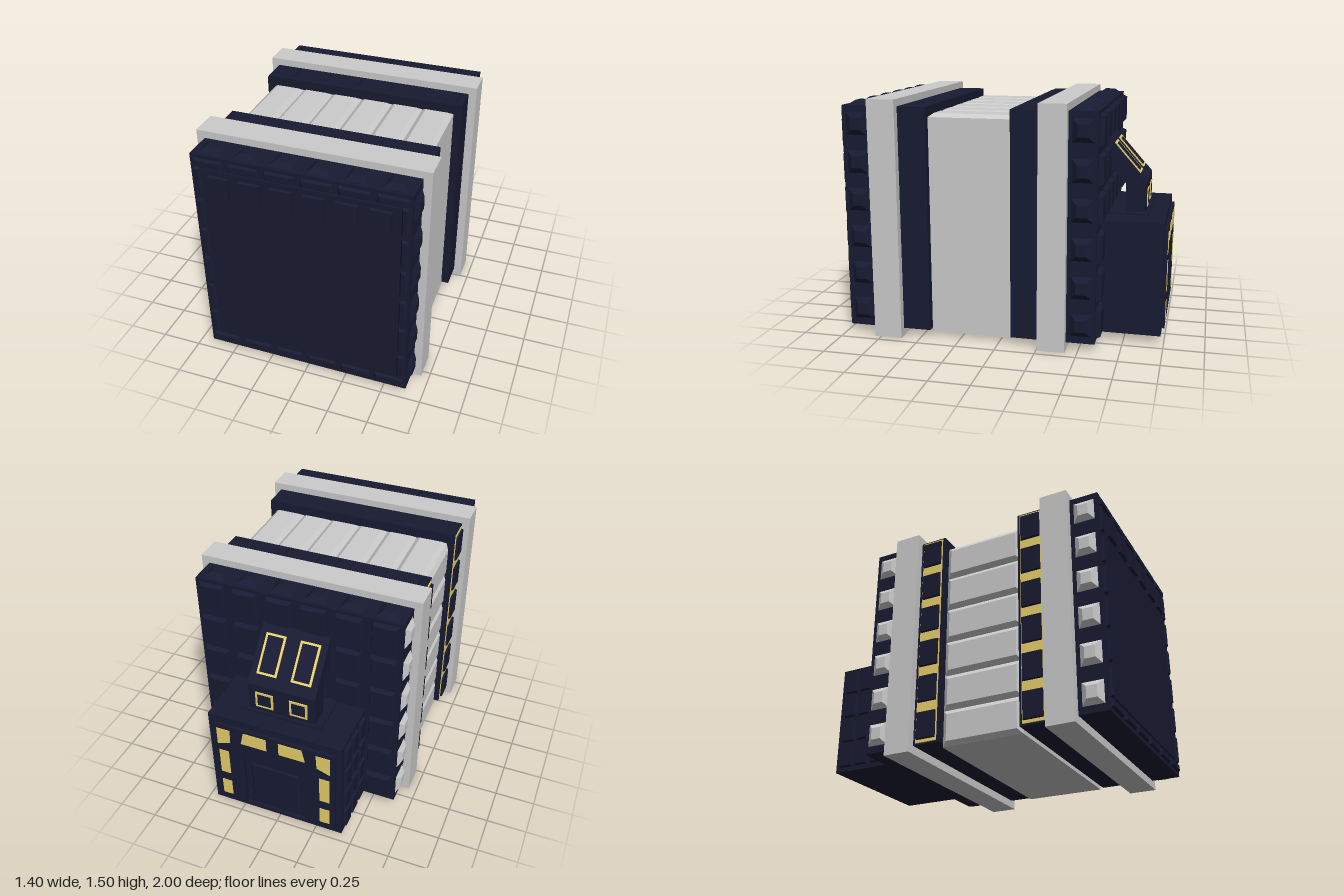
import * as THREE from 'three';

const mat = (color) => new THREE.MeshStandardMaterial({ color, flatShading: true });

// Rotations that aim a panel's +y at each side of the block
const TURN = {
  top: [0, 0, 0], bottom: [Math.PI, 0, 0],
  px: [0, 0, -Math.PI / 2], nx: [0, 0, Math.PI / 2],
  pz: [Math.PI / 2, 0, 0], nz: [-Math.PI / 2, 0, 0],
};

// Panel with bevelled rim, base on y = 0
function panelGeometry(w, d, h, inset) {
  const g = new THREE.BoxGeometry(w, h, d).translate(0, h / 2, 0);
  const p = g.attributes.position;
  for (let i = 0; i < p.count; i++) {
    if (p.getY(i) < h / 2) continue;
    p.setX(i, p.getX(i) - Math.sign(p.getX(i)) * inset);
    p.setZ(i, p.getZ(i) - Math.sign(p.getZ(i)) * inset);
  }
  g.computeVertexNormals();
  return g;
}

export function createModel() {
  const model = new THREE.Group();
  const navy = mat(0x181b32), grey = mat(0xcccccc), yellow = mat(0xe8d06a);

  const add = (name, geo, material, x = 0, y = 0, z = 0) => {
    const m = new THREE.Mesh(geo, material);
    m.name = name;
    m.position.set(x, y, z);
    model.add(m);
    return m;
  };
  // Box given by its limits
  const box = (name, material, x0, x1, y0, y1, z0, z1) =>
    add(name, new THREE.BoxGeometry(x1 - x0, y1 - y0, z1 - z0), material,
      (x0 + x1) / 2, (y0 + y1) / 2, (z0 + z1) / 2);
  const panel = (name, material, side, x, y, z, w, d, h, inset) =>
    add(name, panelGeometry(w, d, h, inset), material, x, y, z).rotation.set(...TURN[side]);
  // Flat outline standing in the xy plane
  const plate = (name, material, points, depth, z, hole) => {
    const s = new THREE.Shape(points.map((p) => new THREE.Vector2(...p)));
    if (hole) s.holes.push(new THREE.Path(hole.map((p) => new THREE.Vector2(...p))));
    return add(name, new THREE.ExtrudeGeometry(s, { depth, bevelEnabled: false }), material, 0, 0, z);
  };

  const cols = [...Array(6).keys()].map((i) => (i - 2.5) * 0.217);
  const rows = [...Array(6).keys()].map((i) => 0.755 + (i - 2.5) * 0.236);

  // Core block with ribbed top and ribbed right-hand flank
  box('core', grey, -0.6, 0.6, 0.025, 1.39, -0.08, 0.44);
  for (let i = 0; i < 6; i++) {
    panel('coreTopRib', grey, 'top', (i - 2.5) * 0.2, 1.39, 0.18, 0.2, 0.52, 0.022, 0.03);
    panel('coreSideRib', grey, 'nx', -0.6, 0.7075 + (i - 2.5) * 0.2275, 0.18, 0.2275, 0.52, 0.022, 0.03);
  }

  // Grey frames
  box('frontFrame', grey, -0.7, 0.7, 0, 1.5, 0.615, 0.79);
  box('rearFrame', grey, -0.7, 0.7, 0, 1.5, -0.425, -0.255);

  // Inner bands with lit gaps between the flank panels
  for (const [z, rise] of [[0.5275, 0.005], [-0.1675, 0.015]]) {
    box('innerBand', navy, -0.65, 0.65, 0.05, 1.455, z - 0.0875, z + 0.0875);
    box('bandLight', yellow, -0.656, -0.65, 0.06, 1.445, z - 0.07, z + 0.07);
    for (const y of rows) panel('bandSidePanel', navy, 'nx', -0.65, y, z, 0.175, 0.13, 0.02, 0.005);
    for (const x of cols) panel('bandTopPanel', navy, 'top', x, 1.455, z, 0.13, 0.11, rise, 0.004);
  }

  // End slabs studded on all four edges
  for (const [z0, z1] of [[0.79, 0.97], [-0.6, -0.425]]) {
    const z = (z0 + z1) / 2;
    box('endSlab', navy, -0.65, 0.65, 0.05, 1.455, z0, z1);
    for (const x of cols) {
      panel('topStud', navy, 'top', x, 1.455, z, 0.14, 0.13, 0.025, 0.033);
      panel('bottomStud', navy, 'bottom', x, 0.05, z, 0.14, 0.13, 0.025, 0.033);
    }
    for (const y of rows) {
      panel('leftStud', navy, 'px', 0.65, y, z, 0.14, 0.13, 0.025, 0.033);
      panel('rightStud', grey, 'nx', -0.65, y, z, 0.14, 0.13, 0.025, 0.033);
    }
  }

  // Front face: centre plate, rim tiles and a row of raised panels
  box('frontPlate', navy, -0.575, 0.575, 0.14, 1.37, 0.97, 0.98);
  for (const x of cols) {
    panel('frontPanel', navy, 'pz', x * 0.88, 1.27, 0.98, 0.13, 0.14, 0.02, 0.003);
    for (const y of [0.1, 1.405]) panel('frontRimTile', navy, 'pz', x, y, 0.97, 0.18, 0.055, 0.015, 0.01);
  }
  for (const y of rows) {
    for (const x of [-0.612, 0.612]) panel('frontRimTile', navy, 'pz', x, y * 0.9 + 0.075, 0.97, 0.045, 0.18, 0.015, 0.01);
  }

  // Rear wall tiles
  for (const x of cols) {
    for (const y of rows) panel('rearTile', navy, 'nz', x, y, -0.6, 0.16, 0.18, 0.03, 0.012);
  }

  // Rear annex
  box('annex', navy, -0.435, 0.43, 0.05, 0.77, -0.98, -0.6);
  for (let i = 0; i < 3; i++) {
    for (let j = 0; j < 4; j++) {
      panel('annexSideTile', navy, 'nx', -0.435, 0.15 + j * 0.172, -0.9 + i * 0.115, 0.14, 0.09, 0.018, 0.006);
    }
  }
  plate('annexDoorway', navy, [[-0.4, 0.09], [0.39, 0.09], [0.39, 0.72], [-0.4, 0.72]], 0.02, -1,
    [[-0.2, 0.1], [-0.2, 0.5], [0.2, 0.5], [0.2, 0.1]]);
  panel('annexDoor', navy, 'nz', 0, 0.28, -0.98, 0.32, 0.34, 0.01, 0.01);

  // Annex lights, mirrored on both sides of the doorway
  const lights = [
    [[0.37, 0.69], [0.28, 0.69], [0.285, 0.59], [0.37, 0.56]],
    [[0.19, 0.7], [0.04, 0.7], [0.04, 0.61], [0.21, 0.61]],
    [[0.365, 0.51], [0.3, 0.51], [0.3, 0.32], [0.365, 0.32]],
    [[0.365, 0.25], [0.3, 0.25], [0.3, 0.13], [0.365, 0.13]],
  ];
  for (const s of [-1, 1]) {
    for (const pts of lights) plate('annexLight', yellow, pts.map(([x, y]) => [s * x, y]), 0.004, -1.003);
  }

  // Bent duct from the annex roof up to the rear wall
  box('ductCollar', navy, -0.26, 0.255, 0.77, 0.782, -0.87, -0.6);
  const profile = [[0.59, 1.265], [0.85, 0.97], [0.85, 0.77], [0.72, 0.77], [0.72, 0.96], [0.59, 1.11]];
  const duct = plate('duct', navy, profile, 0.43, 0);
  duct.rotation.y = Math.PI / 2;
  duct.position.x = -0.215;

  // Rectangular light frame around a dark pane, facing -z before placement
  const lightFrame = (name, w, h, t) => {
    const g = new THREE.Group();
    g.name = name;
    const bar = (bw, bh, x, y, m) => {
      const b = new THREE.Mesh(new THREE.BoxGeometry(bw, bh, 0.008), m);
      b.position.set(x, y, 0);
      g.add(b);
    };
    for (const s of [-1, 1]) {
      bar(t, h, s * (w - t) / 2, 0, yellow);
      bar(w - 2 * t, t, 0, s * (h - t) / 2, yellow);
    }
    bar(w - 2 * t, h - 2 * t, 0, 0, navy);
    model.add(g);
    return g;
  };
  const slope = Math.atan2(0.26, 0.295);
  for (const s of [-1, 1]) {
    lightFrame('ductWindow', 0.115, 0.11, 0.014).position.set(s * 0.11, 0.865, -0.852);
    const f = lightFrame('ductSkylight', 0.128, 0.25, 0.014);
    f.position.set(s * 0.11, 1.118, -0.724);
    f.rotation.x = slope;
  }
  return model;
}
